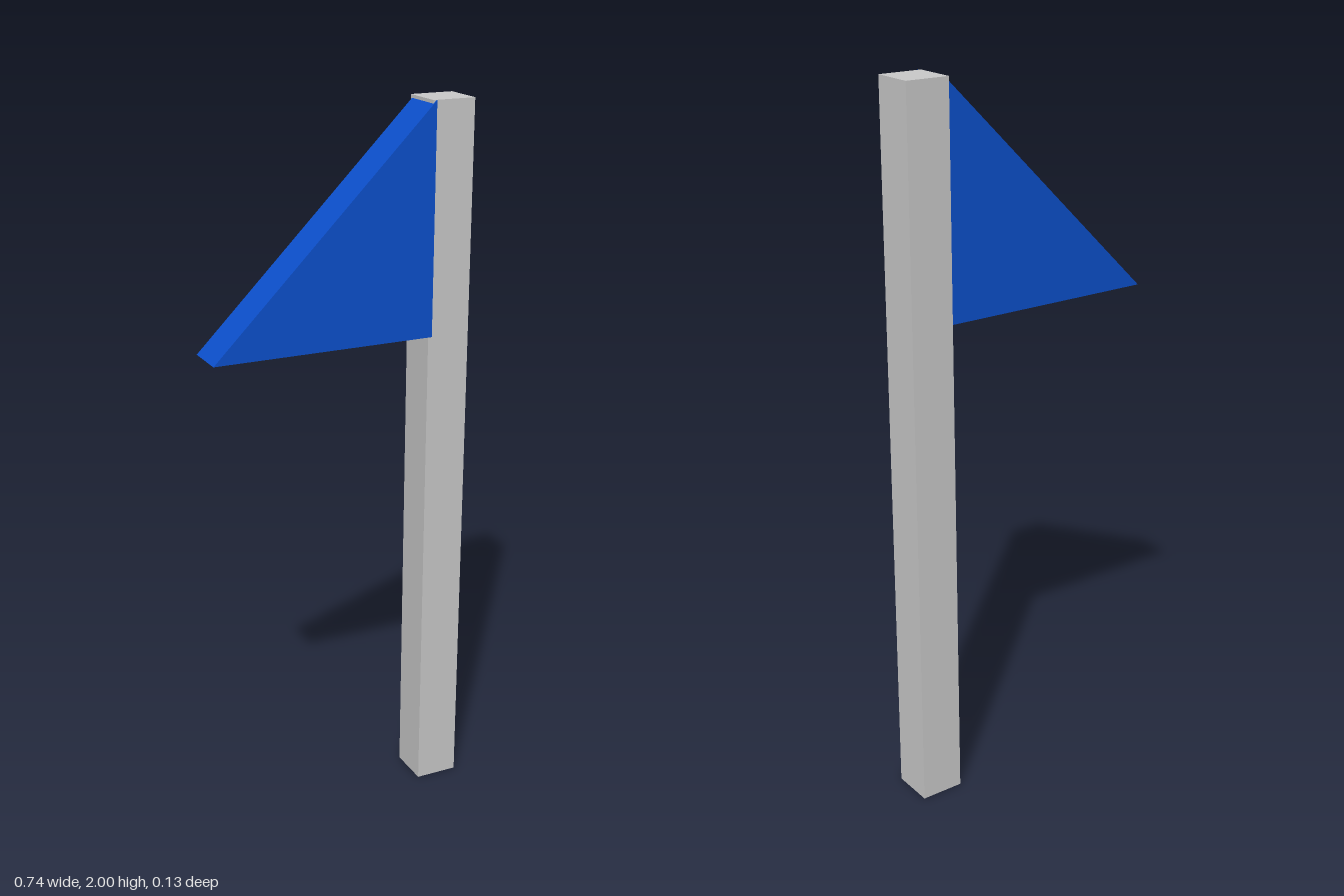
import * as THREE from 'three';

export function createModel() {
  const group = new THREE.Group();
  const poleGrey = new THREE.MeshStandardMaterial({ color: 0xcacaca });
  poleGrey.name = 'pole grey';
  const flagBlue = new THREE.MeshStandardMaterial({ color: 0x0c50cc });
  flagBlue.name = 'flag blue';

  // Square upright pole
  const pole = new THREE.Mesh(new THREE.BoxGeometry(0.122, 2, 0.122), poleGrey);
  pole.name = 'pole';
  pole.position.set(0.309, 1, -0.003);
  group.add(pole);

  // Thick triangular pennant, set slightly into the pole and proud of its front
  const outline = new THREE.Shape([
    new THREE.Vector2(-0.37, 1.375),
    new THREE.Vector2(0.257, 1.375),
    new THREE.Vector2(0.257, 2),
  ]);
  const flag = new THREE.Mesh(
    new THREE.ExtrudeGeometry(outline, { depth: 0.12, bevelEnabled: false }),
    flagBlue
  );
  flag.name = 'flag';
  flag.position.z = -0.058;
  group.add(flag);

  return group;
}
